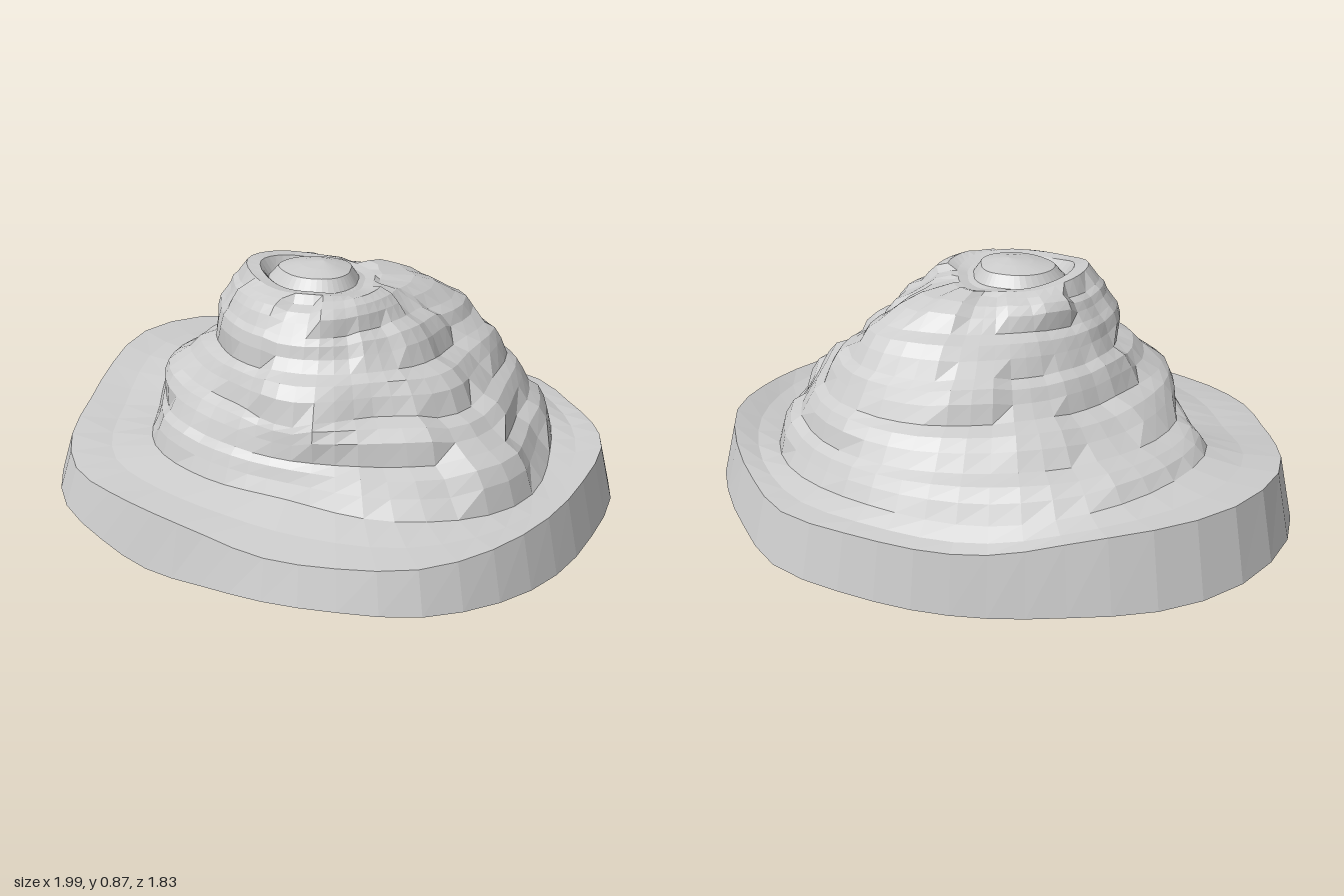
import * as THREE from 'three';

const SEGMENTS = 48;

// Smooth closed interpolation of values spaced evenly round the hill (0 = +x, quarter turn = +z).
function around(values, t) {
  const n = values.length, f = t * n, i = Math.floor(f), u = f - i;
  const [a, b, c, d] = [-1, 0, 1, 2].map(k => values[(i + k + n) % n]);
  return b + 0.5 * u * (c - a + u * (2 * a - 5 * b + 4 * c - d + u * (3 * (b - c) + d - a)));
}

function seeded(seed) {
  return () => (seed = (seed * 16807) % 2147483647) / 2147483647;
}

// Skirt outline and its heights
const baseR = [1, .99, 1, 1.01, 1, .94, .9, .86, .87, .9, .96, .98,
  .98, 1.03, 1.11, 1.12, 1.05, .95, .91, .92, .95, .99, .97, .98];
const baseY = [.08, .04, .05, .05, .02, .06, .08, .1, .04, 0, .03, .06];
const rimY = [.27, .23, .19, .18, .21, .2, .25, .33, .3, .2, .22, .23];

// Foot of the cliffs
const footR = [.78, .82, .72, .6, .6, .64, .66, .8, .82, .78, .78, .8];
const footY = [.23, .22, .23, .25, .25, .25, .25, .32, .3, .25, .26, .25];

// Contours up the hill: [height, radii]
const contours = [
  [.37, [.67, .7, .6, .55, .54, .58, .62, .66, .66, .66, .7, .72]],
  [.48, [.56, .58, .48, .53, .46, .5, .56, .5, .5, .53, .6, .64]],
  [.6, [.43, .42, .4, .4, .4, .4, .42, .42, .42, .44, .52, .56]],
  [.72, [.31, .3, .32, .36, .36, .36, .38, .37, .34, .34, .4, .46]],
  [.8, [.17, .2, .24, .26, .28, .3, .34, .32, .27, .22, .2, .18]],
];
const crestY = [.8, .8, .81, .82, .82, .83, .85, .84, .82, .81, .8, .8];

function ringAt(rule) {
  return Array.from({ length: SEGMENTS }, (_, i) => {
    const t = i / SEGMENTS, a = t * Math.PI * 2;
    const { r, y, x = 0 } = rule(t, i);
    return [x + r * Math.cos(a), y, r * Math.sin(a)];
  });
}

// Skins a stack of rings, optionally closing it at a peak
function skin(name, rings, peak) {
  const positions = rings.flat(2), index = [];
  for (let k = 0; k < rings.length - 1; k++) {
    for (let i = 0; i < SEGMENTS; i++) {
      const j = (i + 1) % SEGMENTS, a = k * SEGMENTS, b = a + SEGMENTS;
      index.push(a + i, b + i, a + j, a + j, b + i, b + j);
    }
  }
  if (peak) {
    const last = (rings.length - 1) * SEGMENTS;
    positions.push(...peak);
    for (let i = 0; i < SEGMENTS; i++)
      index.push(last + i, rings.length * SEGMENTS, last + (i + 1) % SEGMENTS);
  }
  const geometry = new THREE.BufferGeometry();
  geometry.setAttribute('position', new THREE.Float32BufferAttribute(positions, 3));
  geometry.setIndex(index);
  geometry.computeVertexNormals();
  const mesh = new THREE.Mesh(geometry, new THREE.MeshStandardMaterial({
    color: 0xcccccc, flatShading: true, side: THREE.DoubleSide,
  }));
  mesh.name = name;
  return mesh;
}

export function createModel() {
  const random = seeded(417);
  const group = new THREE.Group();
  group.name = 'rockyHill';

  // Skirt
  const base = ringAt(t => ({ r: around(baseR, t), y: Math.max(0, around(baseY, t)) }));
  const rim = ringAt(t => ({ r: around(baseR, t) * .955, y: around(rimY, t) }));
  group.add(skin('skirt', [base, rim]));

  // Gentle apron between the rim and the cliffs
  const foot = ringAt(t => ({ r: around(footR, t), y: around(footY, t) }));
  const apron = ringAt(t => ({
    r: (around(baseR, t) * .955 + around(footR, t)) / 2,
    y: (around(rimY, t) + around(footY, t)) / 2 - .01,
  }));
  group.add(skin('apron', [rim, apron, foot]));

  // Terraced cliffs: a ledge and a steeper wall below each contour, with blocks three segments wide
  const levels = [
    { r: t => around(footR, t), y: t => around(footY, t) },
    ...contours.map(([h, radii]) => ({ r: t => around(radii, t), y: () => h })),
  ];
  const cliffs = [foot];
  for (let k = 1; k < levels.length; k++) {
    const low = levels[k - 1], high = levels[k];
    const blocks = Array.from({ length: SEGMENTS / 3 }, () => random() - .5);
    for (const [u, v] of [[.3, .48], [.58, .82], [1, 1]]) {
      cliffs.push(ringAt((t, i) => {
        const block = blocks[Math.floor(i / 3)];
        return {
          r: THREE.MathUtils.lerp(low.r(t), high.r(t), u) + block * .025,
          y: THREE.MathUtils.lerp(low.y(t), high.y(t), v) + block * .03,
        };
      }));
    }
  }
  group.add(skin('cliffs', cliffs));

  // Summit: raised lip, moat and a shallow central mound
  const top = contours[contours.length - 1][1];
  const shrink = (s, height) => ringAt(t => ({
    r: around(top, t) * s, y: height(t), x: -.04 * (1 - s),
  }));
  group.add(skin('summit', [
    cliffs[cliffs.length - 1],
    shrink(.88, t => around(crestY, t)),
    shrink(.72, t => around(crestY, t) - .005),
    shrink(.62, () => .8),
    shrink(.5, () => .84),
    shrink(.25, () => .855),
  ], [-.03, .865, 0]));

  return group;
}
